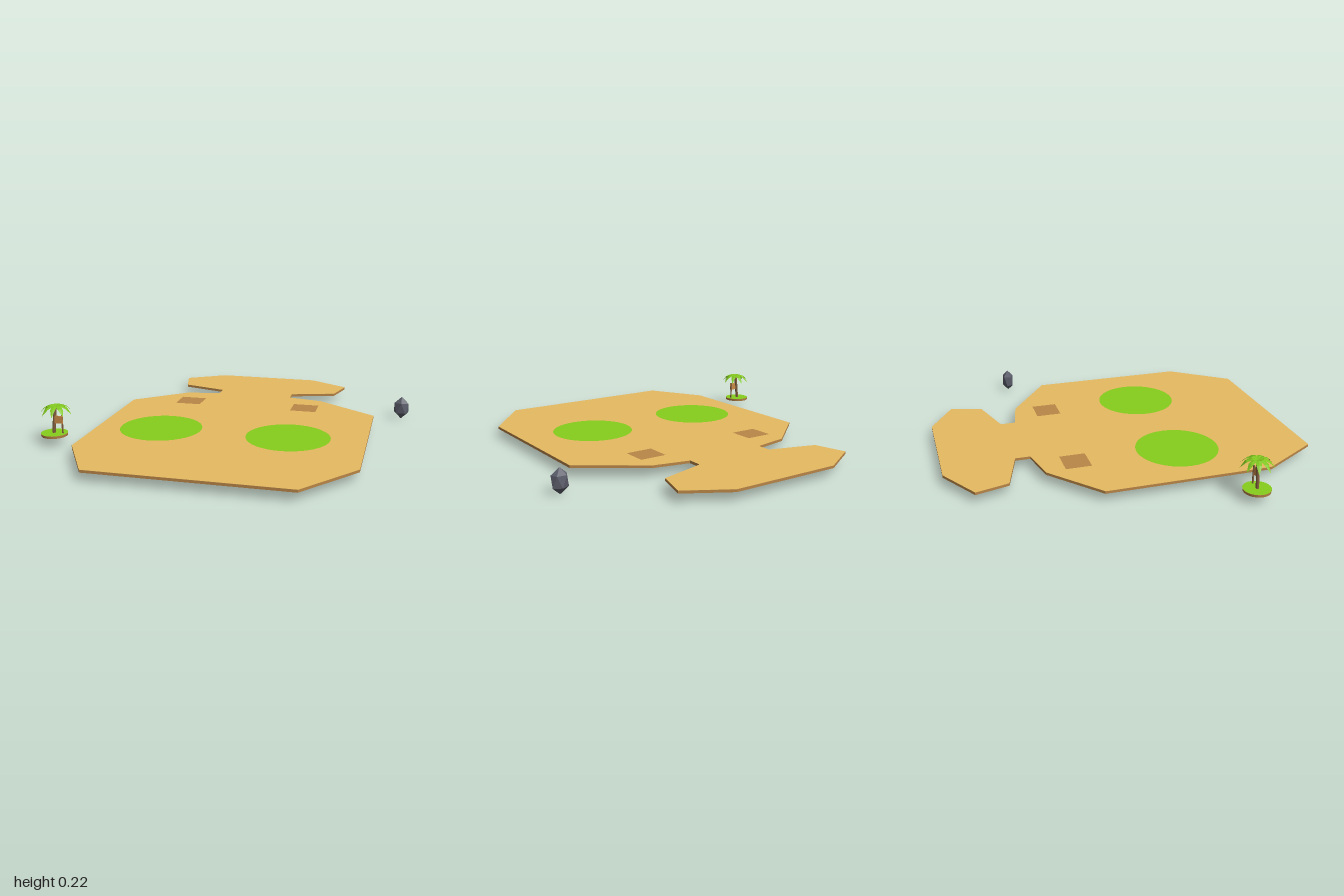
import * as THREE from 'three';

const mat = (name, color, extra = {}) => {
  const m = new THREE.MeshStandardMaterial({ color, ...extra });
  m.name = name;
  return m;
};

export function createModel() {
  const root = new THREE.Group();
  root.name = 'island';
  const sand = mat('sand', 0xe6ba61);
  const soil = mat('soil', 0xb88446);
  const grass = mat('grass', 0x86cd1c);
  const clay = mat('clay', 0xba8747);
  const stone = mat('stone', 0x5c5e6b, { flatShading: true });
  const bark = mat('bark', 0x856040);
  const board = mat('board', 0xc98a46);
  const leaf = mat('leaf', 0x80c61e, { flatShading: true, side: THREE.DoubleSide });

  const add = (parent, name, geometry, material, x = 0, y = 0, z = 0) => {
    const mesh = new THREE.Mesh(geometry, material);
    mesh.name = name;
    mesh.position.set(x, y, z);
    parent.add(mesh);
    return mesh;
  };
  const BOTTOM = 0.05, TOP = 0.065;

  // Ground outline, x and z
  const outline = [
    [-0.32, -1], [0.31, -1], [0.545, -0.863], [0.495, -0.683], [0.23, -0.605], [0.23, -0.522],
    [0.435, -0.481], [0.78, -0.24], [0.78, 0.676], [0.53, 1], [-0.535, 1], [-0.724, 0.676],
    [-0.724, -0.24], [-0.442, -0.481], [-0.236, -0.522], [-0.236, -0.605], [-0.503, -0.683], [-0.55, -0.863],
  ];
  const shape = new THREE.Shape(outline.map(([x, z]) => new THREE.Vector2(x, z)));
  const slab = (depth) =>
    new THREE.ExtrudeGeometry(shape, { depth, bevelEnabled: false }).rotateX(Math.PI / 2);
  add(root, 'groundSoil', slab(TOP - BOTTOM - 0.001), soil, 0, TOP - 0.001, 0);
  add(root, 'groundSand', slab(0.001), sand, 0, TOP, 0);

  // Flat painted lawns and clay plots, one pair on each side
  const flat = (geometry) => geometry.rotateX(-Math.PI / 2);
  for (const x of [-0.364, 0.358]) {
    add(root, 'lawn', flat(new THREE.CircleGeometry(0.231, 40)), grass, x, TOP + 0.001, 0.278);
    add(root, 'clayPlot', flat(new THREE.PlaneGeometry(0.153, 0.143)), clay, x, TOP + 0.001, -0.302);
  }

  // Floating faceted rock, pointed at both ends
  const rock = new THREE.IcosahedronGeometry(1, 0);
  rock.rotateZ(Math.atan(2 / (1 + Math.sqrt(5)))).rotateY(0.3).scale(0.05, 0.068, 0.037);
  add(root, 'rock', rock, stone, 0.934, 0.069, -0.441);

  // Small palm islet
  const islet = new THREE.Group();
  islet.name = 'palmIslet';
  islet.position.set(-0.91, 0, 0.497);
  root.add(islet);
  add(islet, 'isletSoil', new THREE.CylinderGeometry(0.074, 0.072, 0.014, 24), soil, 0, BOTTOM + 0.007, 0);
  add(islet, 'isletGrass', flat(new THREE.CircleGeometry(0.074, 24)), grass, 0, TOP, 0);

  // Leaning trunk
  const path = new THREE.QuadraticBezierCurve3(
    new THREE.Vector3(-0.003, 0.062, 0), new THREE.Vector3(0.003, 0.14, 0), new THREE.Vector3(0.014, 0.214, 0));
  add(islet, 'trunk', new THREE.TubeGeometry(path, 6, 0.009, 7), bark);

  // Arched fronds: a ridged blade swept along a drooping line
  const stations = [[0, 0.214, 0.006], [0.03, 0.224, 0.014], [0.06, 0.213, 0.014], [0.09, 0.178, 0.001]];
  const verts = [], index = [];
  stations.forEach(([r, y, w], i) => {
    verts.push(r, y - w * 0.2, -w, r, y, 0, r, y - w * 0.2, w);
    if (i === 0) return;
    for (const k of [0, 1]) {
      const a = (i - 1) * 3 + k, b = a + 1, c = i * 3 + k, d = c + 1;
      index.push(a, b, c, b, d, c);
    }
  });
  const blade = new THREE.BufferGeometry();
  blade.setAttribute('position', new THREE.Float32BufferAttribute(verts, 3));
  blade.setIndex(index);
  blade.computeVertexNormals();
  const FRONDS = 9;
  for (let i = 0; i < FRONDS; i++) {
    add(islet, 'frond', blade, leaf, 0.017, 0, 0).rotation.y = (i / FRONDS) * Math.PI * 2;
  }

  // Signboard between trunk and post
  add(islet, 'signPost', new THREE.BoxGeometry(0.007, 0.105, 0.007), bark, 0.05, 0.115, 0);
  add(islet, 'signBoard', new THREE.BoxGeometry(0.046, 0.042, 0.008), board, 0.031, 0.142, 0.004);
  return root;
}
